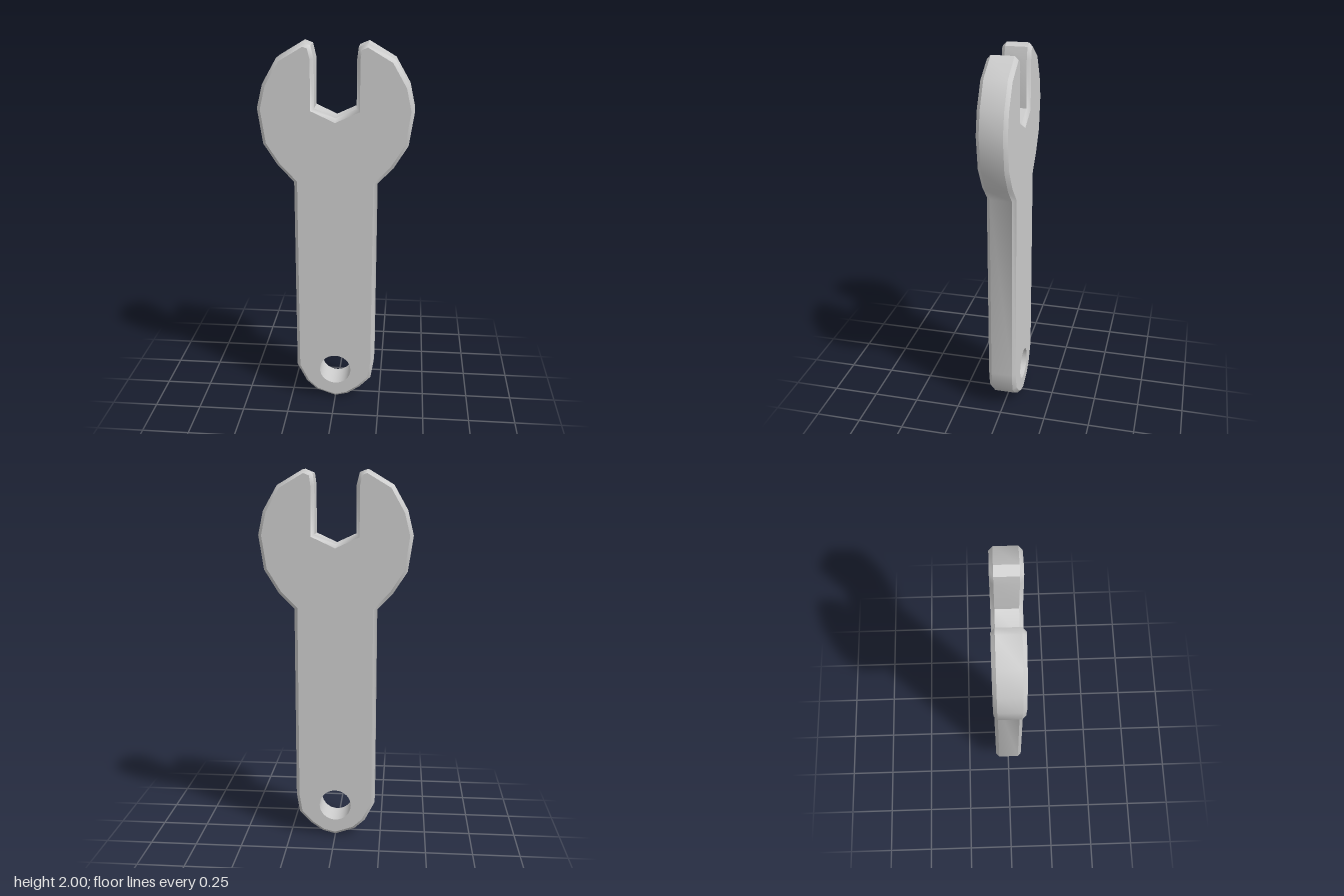
import * as THREE from 'three';
import { toCreasedNormals } from 'three/addons/utils/BufferGeometryUtils.js';

const HALF = 0.077, RIM = 0.058, BEVEL = 0.018;
const HOLE = { y: 0.18, r: 0.087 };

// Widest outline, counter-clockwise from the foot of the handle
const OUTLINE = [
  [0, 0], [0.07, 0.018], [0.137, 0.064], [0.2, 0.13], [0.217, 0.235],   // right of the rounded end
  [0.217, 1.28], [0.3, 1.365], [0.375, 1.487], [0.402, 1.667],          // handle, right jaw
  [0.375, 1.79], [0.3, 1.92], [0.164, 2], [0.116, 1.98],
  [0.108, 1.92], [0.108, 1.672], [0, 1.622], [-0.108, 1.672], [-0.108, 1.92], // slot
  [-0.124, 1.985], [-0.164, 2], [-0.298, 1.92], [-0.372, 1.79],         // left jaw
  [-0.402, 1.667], [-0.375, 1.483], [-0.302, 1.37], [-0.217, 1.28],
  [-0.217, 0.195], [-0.164, 0.09], [-0.107, 0.037],                     // left of the rounded end
].map(([x, y]) => new THREE.Vector2(x, y));

// Moves every edge of a closed outline inwards by d
function inset(points, d) {
  const n = points.length;
  const inward = (a, b) => new THREE.Vector2(a.y - b.y, b.x - a.x).normalize();
  return points.map((p, i) => {
    const n1 = inward(points[(i + n - 1) % n], p);
    const n2 = inward(p, points[(i + 1) % n]);
    return n1.clone().add(n2).multiplyScalar(d / (1 + n1.dot(n2))).add(p);
  });
}

// Band of quads joining a back outline to a front outline
function band(back, zBack, front, zFront) {
  const pos = [];
  back.forEach((b0, i) => {
    const j = (i + 1) % back.length, b1 = back[j], f0 = front[i], f1 = front[j];
    pos.push(b0.x, b0.y, zBack, b1.x, b1.y, zBack, f1.x, f1.y, zFront);
    pos.push(b0.x, b0.y, zBack, f1.x, f1.y, zFront, f0.x, f0.y, zFront);
  });
  const geo = new THREE.BufferGeometry();
  geo.setAttribute('position', new THREE.Float32BufferAttribute(pos, 3));
  return toCreasedNormals(geo, 0.9);
}

export function createModel() {
  const group = new THREE.Group();
  group.name = 'wrench';
  const material = new THREE.MeshStandardMaterial({ color: 0xcccccc });
  const add = (name, geometry, mat = material) => {
    const mesh = new THREE.Mesh(geometry, mat);
    mesh.name = name;
    group.add(mesh);
    return mesh;
  };

  // Flat faces with the hanging hole
  const inner = inset(OUTLINE, BEVEL);
  const shape = new THREE.Shape(inner);
  shape.holes.push(new THREE.Path().absarc(0, HOLE.y, HOLE.r, 0, Math.PI * 2, true));
  const frontFace = new THREE.ShapeGeometry(shape, 16);
  const backFace = frontFace.clone();
  const index = backFace.index.array;
  for (let i = 0; i < index.length; i += 3) [index[i], index[i + 1]] = [index[i + 1], index[i]];
  const normals = backFace.attributes.normal;
  for (let i = 0; i < normals.count; i++) normals.setZ(i, -1);
  add('frontFace', frontFace.translate(0, 0, HALF));
  add('backFace', backFace.translate(0, 0, -HALF));

  // Edge wall and the bevels on both sides of it
  add('edgeWall', band(OUTLINE, -RIM, OUTLINE, RIM));
  add('frontBevel', band(OUTLINE, RIM, inner, HALF));
  add('backBevel', band(inner, -HALF, OUTLINE, -RIM));

  // Inside of the hanging hole
  const lining = new THREE.CylinderGeometry(HOLE.r, HOLE.r, HALF * 2, 32, 1, true);
  lining.rotateX(Math.PI / 2).translate(0, HOLE.y, 0);
  const liningMaterial = material.clone();
  liningMaterial.side = THREE.DoubleSide;
  add('hangingHole', lining, liningMaterial);

  return group;
}
